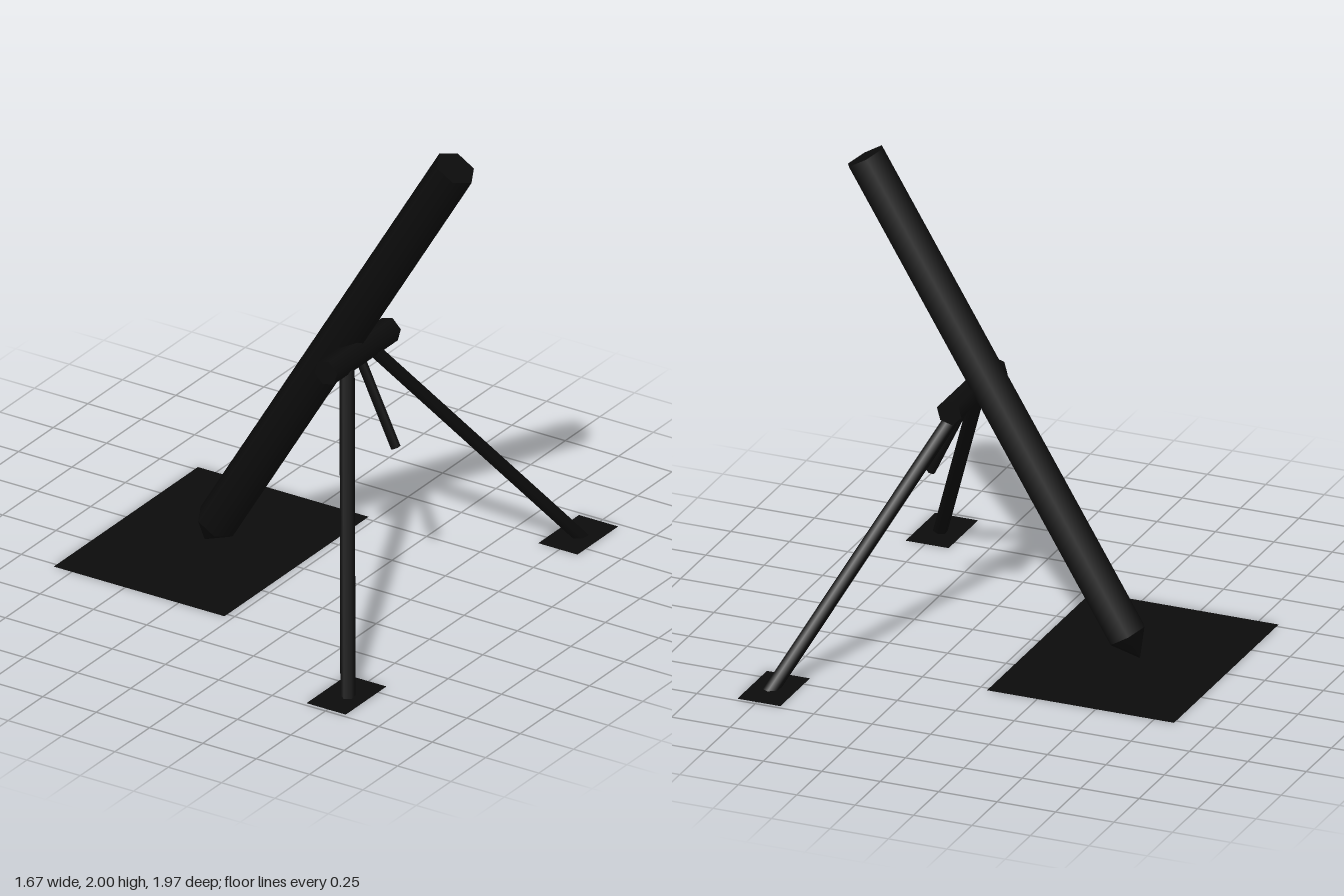
import * as THREE from 'three';

export function createModel() {
  const model = new THREE.Group();
  const blackMetal = new THREE.MeshStandardMaterial({ color: 0x0c0c0c, side: THREE.DoubleSide });
  blackMetal.name = 'black metal';
  const UP = new THREE.Vector3(0, 1, 0);

  const add = (name, geometry, parent = model) => {
    const mesh = new THREE.Mesh(geometry, blackMetal);
    mesh.name = name;
    parent.add(mesh);
    return mesh;
  };

  // Thin sheet lying on the ground
  const sheet = (name, x, z, width, depth) =>
    add(name, new THREE.PlaneGeometry(width, depth).rotateX(-Math.PI / 2).translate(x, 0, z));

  // Six-sided rod between two points; level ends slide along the rod to horizontal cuts
  const rod = (name, from, to, radius, levelEnds) => {
    const axis = to.clone().sub(from);
    const length = axis.length();
    axis.normalize();
    const geometry = new THREE.CylinderGeometry(radius, radius, length, 6);
    geometry.translate(0, length / 2, 0);
    const isEnd = Array.from({ length: geometry.attributes.position.count },
      (_, i) => geometry.attributes.position.getY(i) > length / 2);
    geometry.applyQuaternion(new THREE.Quaternion().setFromUnitVectors(UP, axis));
    geometry.translate(from.x, from.y, from.z);
    if (levelEnds) {
      const pos = geometry.attributes.position;
      const v = new THREE.Vector3();
      for (let i = 0; i < pos.count; i++) {
        v.fromBufferAttribute(pos, i);
        v.addScaledVector(axis, ((isEnd[i] ? to.y : from.y) - v.y) / axis.y);
        pos.setXYZ(i, v.x, v.y, v.z);
      }
    }
    return add(name, geometry);
  };

  // Leaning six-sided barrel with a pointed breech
  const barrel = new THREE.Group();
  barrel.name = 'barrel';
  barrel.position.set(-0.41, 0.095, 0);
  barrel.rotation.z = -Math.atan2(1.12, 1.86);
  model.add(barrel);
  const length = 2.17, radius = 0.0875, tip = 0.108;
  add('barrelTube', new THREE.CylinderGeometry(radius, radius, length, 6, 1, false, Math.PI / 2)
    .translate(0, length / 2, 0), barrel);
  add('barrelBreech', new THREE.CylinderGeometry(radius, 0, tip, 6, 1, true, Math.PI / 2)
    .translate(0, -tip / 2, 0), barrel);

  // Base plate under the breech
  sheet('basePlate', -0.435, 0, 0.8, 1.04);

  // Cross bar carrying the legs
  add('crossBar', new THREE.CylinderGeometry(0.054, 0.054, 0.46, 6, 1, false, THREE.MathUtils.degToRad(105))
    .rotateX(Math.PI / 2).translate(0.252, 1.025, 0));

  // Two splayed legs with flat feet
  for (const side of [1, -1]) {
    const name = side > 0 ? 'front' : 'back';
    rod(name + 'Leg', new THREE.Vector3(0.748, 0, side * 0.835),
      new THREE.Vector3(0.257, 1.01, side * 0.085), 0.03, true);
    sheet(name + 'Foot', 0.742, side * 0.836, 0.184, 0.294);
  }

  // Short adjusting handle hanging from the cross bar
  rod('adjustingHandle', new THREE.Vector3(0.43, 0.65, 0), new THREE.Vector3(0.257, 1.01, 0), 0.02, false);

  return model;
}
